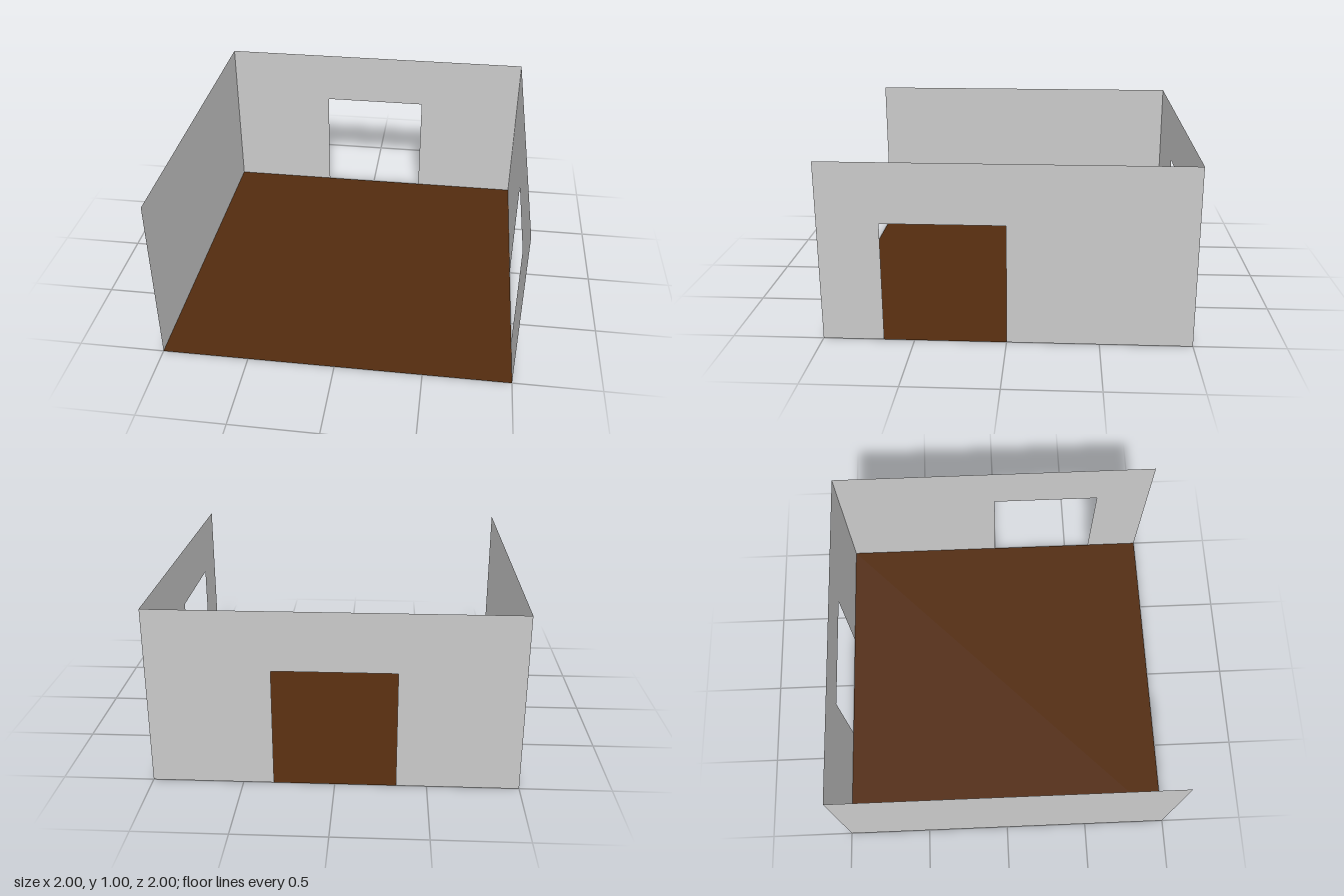
import * as THREE from 'three';

const SIZE = 2, HEIGHT = 1, DOOR_WIDTH = 0.667, DOOR_HEIGHT = 0.667;

const wallGrey = new THREE.MeshStandardMaterial({ color: 0xc9c9c9, side: THREE.DoubleSide });
wallGrey.name = 'wallGrey';
const floorBrown = new THREE.MeshStandardMaterial({ color: 0x522b0e, side: THREE.DoubleSide });
floorBrown.name = 'floorBrown';

// Upright sheet in the xy plane, with an optional doorway centred on doorX
function wallGeometry(doorX) {
  const h = SIZE / 2;
  const points = [[-h, 0]];
  if (doorX !== undefined) {
    const a = doorX - DOOR_WIDTH / 2, b = doorX + DOOR_WIDTH / 2;
    points.push([a, 0], [a, DOOR_HEIGHT], [b, DOOR_HEIGHT], [b, 0]);
  }
  points.push([h, 0], [h, HEIGHT], [-h, HEIGHT]);
  return new THREE.ShapeGeometry(new THREE.Shape(points.map(([x, y]) => new THREE.Vector2(x, y))));
}

export function createModel() {
  const room = new THREE.Group();
  room.name = 'room';

  // Floor sheet
  const floor = new THREE.Mesh(new THREE.PlaneGeometry(SIZE, SIZE).rotateX(-Math.PI / 2), floorBrown);
  floor.name = 'floor';
  room.add(floor);

  // Three walls, front left open; each turned to face the inside of the room
  const walls = [
    { name: 'backWall', x: 0, z: -1, turn: 0, doorX: 0 },
    { name: 'solidSideWall', x: -1, z: 0, turn: Math.PI / 2 },
    { name: 'doorwaySideWall', x: 1, z: 0, turn: -Math.PI / 2, doorX: DOOR_WIDTH / 2 },
  ];
  for (const { name, x, z, turn, doorX } of walls) {
    const wall = new THREE.Mesh(wallGeometry(doorX), wallGrey);
    wall.name = name;
    wall.position.set(x, 0, z);
    wall.rotation.y = turn;
    room.add(wall);
  }
  return room;
}
